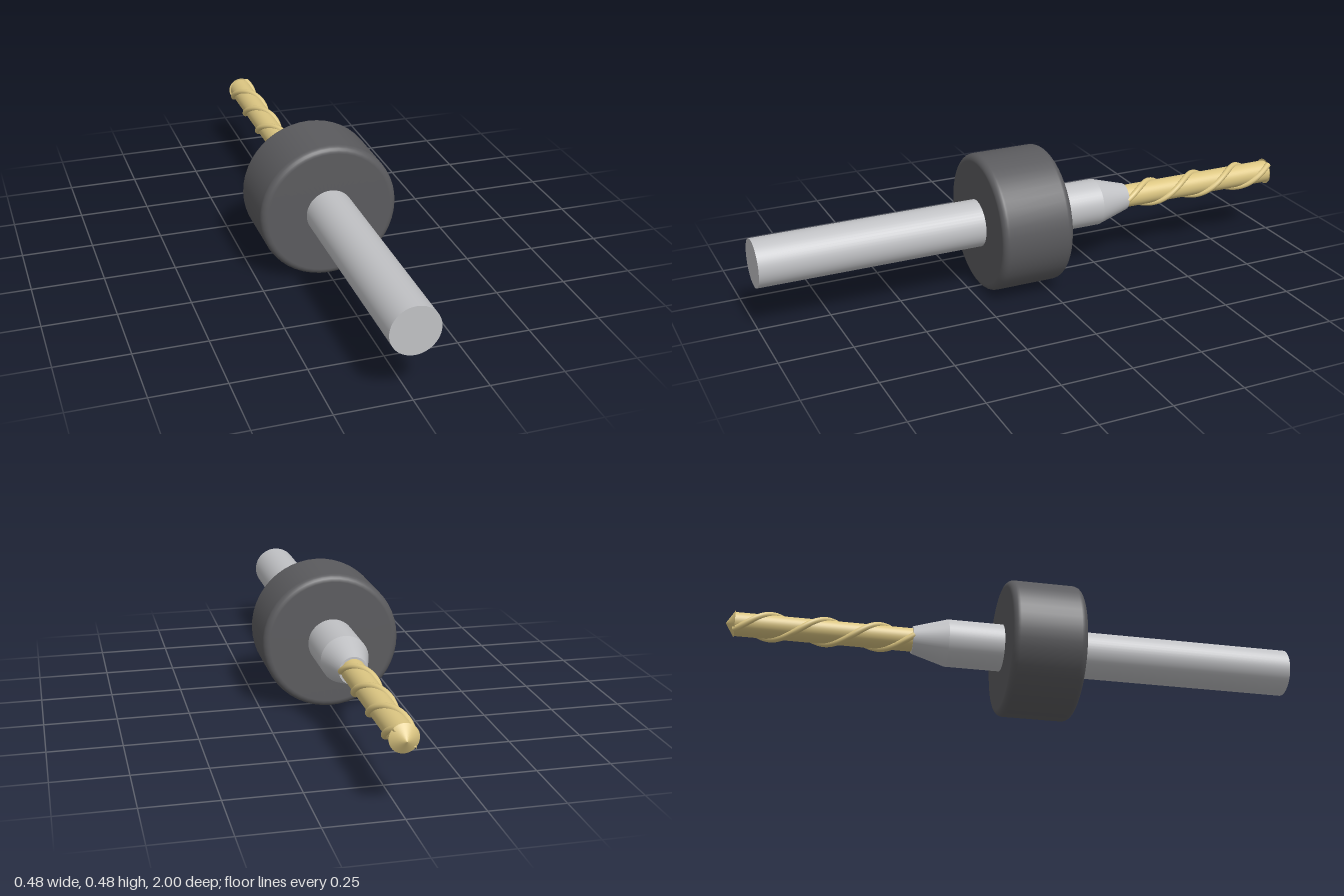
import * as THREE from 'three';

const material = (name, color) => {
  const m = new THREE.MeshStandardMaterial({ color });
  m.name = name;
  return m;
};

// Helix around the z axis, ending at the drill tip
class Helix extends THREE.Curve {
  constructor(radius, z0, z1, pitch, phase) {
    super();
    Object.assign(this, { radius, z0, z1, pitch, phase });
  }
  getPoint(t, target = new THREE.Vector3()) {
    const z = this.z0 + (this.z1 - this.z0) * t;
    const a = this.phase + (2 * Math.PI * (this.z0 - z)) / this.pitch;
    return target.set(this.radius * Math.cos(a), this.radius * Math.sin(a), z);
  }
}

export function createModel() {
  const steel = material('steel grey', 0xc0c1c4);
  const rubber = material('dark grey', 0x5b5b5e);
  const gold = material('pale gold', 0xdcc682);

  const model = new THREE.Group();
  model.name = 'drillBit';
  const axis = new THREE.Group();
  axis.name = 'toolAxis';
  axis.position.y = 0.242;
  model.add(axis);

  const add = (name, geometry, mat) => {
    const mesh = new THREE.Mesh(geometry, mat);
    mesh.name = name;
    axis.add(mesh);
  };

  // Round section along z, from the front end to the back end
  const section = (name, rFront, rBack, zFront, zBack, mat) => {
    const g = new THREE.CylinderGeometry(rBack, rFront, zFront - zBack, 48);
    g.rotateX(-Math.PI / 2).translate(0, 0, (zFront + zBack) / 2);
    add(name, g, mat);
  };

  section('shank', 0.083, 0.083, 1, -0.245, steel);
  section('taperedNeck', 0.083, 0.048, -0.245, -0.365, steel);
  section('drillCore', 0.041, 0.041, -0.365, -0.972, gold);
  section('drillTip', 0.047, 0.0005, -0.97, -1, gold);

  // Depth collar with rounded rims
  const R = 0.241, r = 0.024, front = 0.21, back = -0.05;
  const profile = [new THREE.Vector2(0.06, -front)];
  for (const [centre, start] of [[-front + r, -Math.PI / 2], [-back - r, 0]]) {
    for (let i = 0; i <= 6; i++) {
      const a = start + (i / 6) * (Math.PI / 2);
      profile.push(new THREE.Vector2(R - r + r * Math.cos(a), centre + r * Math.sin(a)));
    }
  }
  profile.push(new THREE.Vector2(0.06, -back));
  add('collar', new THREE.LatheGeometry(profile, 48).rotateX(-Math.PI / 2), rubber);

  // Two opposite spiral cutting edges
  for (const phase of [0, Math.PI]) {
    const path = new Helix(0.041, -0.362, -0.972, 0.37, phase);
    add('spiralEdge', new THREE.TubeGeometry(path, 120, 0.011, 10), gold);
  }

  return model;
}
